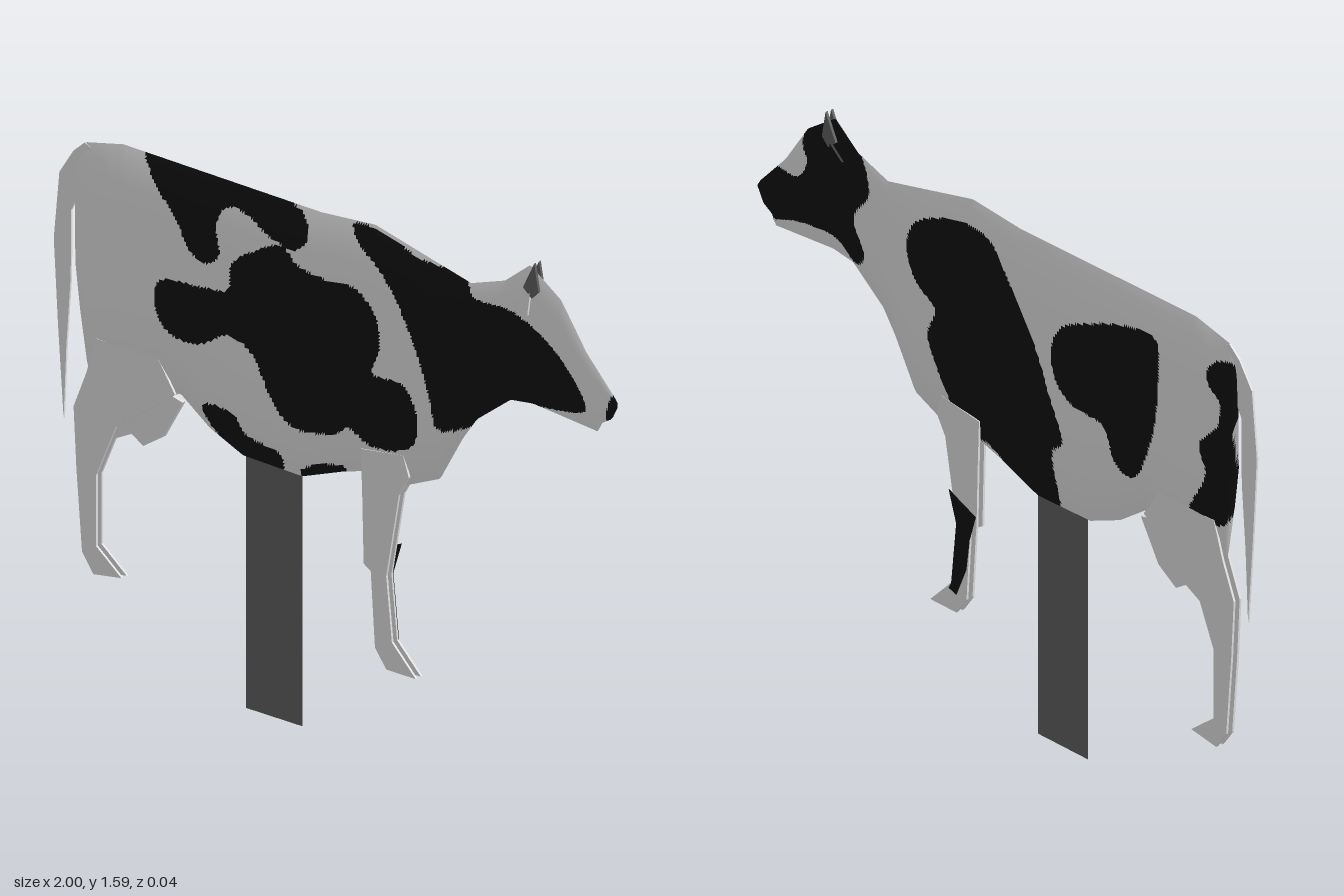
import * as THREE from 'three';

const mat = (name, color, side = THREE.FrontSide) => {
  const m = new THREE.MeshStandardMaterial({ color, side });
  m.name = name;
  return m;
};

// flat x,y list -> points
const pts = (a) => {
  const out = [];
  for (let i = 0; i < a.length; i += 2) out.push(new THREE.Vector2(a[i], a[i + 1]));
  return out;
};

// rounded closed patch outline
const patch = (a) => {
  const p = pts(a);
  const c = new THREE.CatmullRomCurve3(p.map((v) => new THREE.Vector3(v.x, v.y, 0)), true);
  return c.getPoints(p.length * 6);
};

const inside = (poly, x, y) => {
  let hit = false;
  for (let i = 0, j = poly.length - 1; i < poly.length; j = i++) {
    const a = poly[i], b = poly[j];
    if ((a.y > y) !== (b.y > y) && x < ((b.x - a.x) * (y - a.y)) / (b.y - a.y) + a.x) hit = !hit;
  }
  return hit;
};

// piecewise linear lookup
const lookup = (keys, x) => {
  for (let i = 2; i < keys.length; i += 2) {
    if (x <= keys[i]) {
      const t = (x - keys[i - 2]) / (keys[i] - keys[i - 2]);
      return keys[i - 1] + t * (keys[i + 1] - keys[i - 1]);
    }
  }
  return keys[keys.length - 1];
};

// body profile along x: back line, belly line, half thickness
const TOP = [-0.925, 1.47, -0.89, 1.51, -0.755, 1.54, -0.05, 1.53, 0.14, 1.545, 0.33, 1.5, 0.48, 1.465,
  0.6, 1.505, 0.69, 1.575, 0.8, 1.5, 0.89, 1.37, 0.99, 1.265, 1, 1.25];
const BELLY = [-0.925, 1.14, -0.91, 1.02, -0.88, 0.84, -0.55, 0.86, -0.45, 0.79, -0.33, 0.74, -0.12, 0.735,
  0.03, 0.79, 0.12, 0.815, 0.23, 0.8, 0.37, 0.86, 0.45, 1, 0.5, 1.07, 0.62, 1.16, 0.7, 1.17,
  0.93, 1.15, 0.945, 1.18, 0.98, 1.2, 1, 1.24];
const HALF = [-0.925, 0.002, -0.9, 0.011, -0.8, 0.019, -0.3, 0.022, 0.3, 0.019, 0.45, 0.011, 0.7, 0.007, 1, 0.002];

// patches on the +z flank
const FRONT_SPOTS = [
  [-0.68, 1.56, -0.48, 1.55, -0.26, 1.545, -0.11, 1.51, -0.09, 1.44, -0.14, 1.4, -0.23, 1.42, -0.31, 1.46,
    -0.38, 1.46, -0.41, 1.4, -0.4, 1.31, -0.45, 1.28, -0.5, 1.3, -0.56, 1.39, -0.63, 1.46],
  [-0.18, 1.4, -0.12, 1.36, -0.02, 1.345, 0.09, 1.345, 0.16, 1.275, 0.17, 1.195, 0.145, 1.115, 0.25, 1.11,
    0.3, 1.035, 0.29, 0.945, 0.22, 0.905, 0.115, 0.9, 0.06, 0.93, 0.01, 0.9, -0.14, 0.88, -0.205, 0.93,
    -0.285, 1.06, -0.365, 1.09, -0.47, 1.035, -0.58, 1.04, -0.63, 1.115, -0.61, 1.185, -0.47, 1.205,
    -0.365, 1.225, -0.355, 1.3, -0.285, 1.355],
  [0.065, 1.53, 0.17, 1.53, 0.3, 1.49, 0.46, 1.475, 0.49, 1.43, 0.63, 1.425, 0.785, 1.345, 0.89, 1.205,
    0.85, 1.185, 0.7, 1.165, 0.62, 1.15, 0.49, 1.05, 0.37, 1.01, 0.345, 1.09, 0.31, 1.195, 0.25, 1.315,
    0.17, 1.42, 0.09, 1.48],
  [-0.47, 0.855, -0.355, 0.86, -0.31, 0.81, -0.19, 0.78, -0.19, 0.73, -0.31, 0.72, -0.42, 0.78],
  [-0.12, 0.755, 0.035, 0.805, 0.035, 0.77, -0.12, 0.72],
  [0.96, 1.2, 0.985, 1.27, 1.02, 1.24, 1, 1.17, 0.965, 1.17],
].map(patch);

// patches on the -z flank
const BACK_SPOTS = [
  [0.82, 1.46, 0.717, 1.58, 0.604, 1.522, 0.547, 1.402, 0.61, 1.303, 0.566, 1.2, 0.604, 1.16, 0.68, 1.21,
    0.836, 1.2, 0.962, 1.17, 1.01, 1.24, 0.962, 1.33, 0.836, 1.34, 0.8, 1.4],
  [0.39, 1.3, 0.365, 1.384, 0.258, 1.444, 0.15, 1.469, 0.057, 1.453, -0.025, 1.36, -0.12, 1.226, -0.189, 1.075,
    -0.239, 0.947, -0.2, 0.91, -0.208, 0.73, -0.138, 0.72, -0.025, 0.76, 0.088, 0.82, 0.214, 0.77,
    0.195, 0.843, 0.258, 0.968, 0.302, 1.069, 0.27, 1.16, 0.352, 1.214],
  [-0.195, 1.217, -0.226, 1.297, -0.371, 1.371, -0.497, 1.412, -0.61, 1.416, -0.623, 1.291, -0.591, 1.088,
    -0.516, 0.951, -0.453, 0.97, -0.403, 1.069, -0.277, 1.085, -0.214, 1.136],
  [-0.824, 1.424, -0.918, 1.452, -0.95, 1.342, -0.912, 1.259, -0.925, 1.11, -0.89, 0.961, -0.811, 0.922,
    -0.736, 0.927, -0.811, 1.084, -0.786, 1.163, -0.855, 1.246, -0.862, 1.321, -0.818, 1.365],
].map(patch);

// lens-shaped body, neck and head: two bulged sheets, faces grouped by hide colour
function bodyGeometry() {
  const NX = 240, NV = 72, pos = [], plain = [], dark = [];
  for (const s of [1, -1]) {
    const base = pos.length / 3, spots = s > 0 ? FRONT_SPOTS : BACK_SPOTS;
    for (let i = 0; i <= NX; i++) {
      const x = -0.925 + (1.925 * i) / NX;
      const hi = lookup(TOP, x), lo = lookup(BELLY, x), h = lookup(HALF, x);
      for (let j = 0; j <= NV; j++) {
        const v = (2 * j) / NV - 1;
        pos.push(x, lo + ((hi - lo) * j) / NV, s * h * (1 - v ** 4));
      }
    }
    for (let i = 0; i < NX; i++) for (let j = 0; j < NV; j++) {
      const a = base + i * (NV + 1) + j, b = a + NV + 1, c = a + 1, d = b + 1;
      for (const t of [[a, b, d], [a, d, c]]) {
        const x = (pos[t[0] * 3] + pos[t[1] * 3] + pos[t[2] * 3]) / 3;
        const y = (pos[t[0] * 3 + 1] + pos[t[1] * 3 + 1] + pos[t[2] * 3 + 1]) / 3;
        const list = spots.some((p) => inside(p, x, y)) ? dark : plain;
        list.push(...(s > 0 ? t : [t[0], t[2], t[1]]));
      }
    }
  }
  const g = new THREE.BufferGeometry();
  g.setAttribute('position', new THREE.Float32BufferAttribute(pos, 3));
  g.setIndex([...plain, ...dark]);
  g.addGroup(0, plain.length, 0);
  g.addGroup(plain.length, dark.length, 1);
  g.computeVertexNormals();
  return g;
}

export function createModel() {
  const group = new THREE.Group();
  const white = mat('whiteHide', 0xdedede);
  const black = mat('blackHide', 0x101010);
  const grey = mat('greyPost', 0x5e5e5e, THREE.DoubleSide);

  const add = (name, geometry, material) => {
    const m = new THREE.Mesh(geometry, material);
    m.name = name;
    group.add(m);
  };
  // thin plate cut from an outline, centred on z
  const plate = (name, outline, z, depth, material) => {
    const g = new THREE.ExtrudeGeometry(new THREE.Shape(pts(outline)), { depth, bevelEnabled: false });
    g.translate(0, 0, z - depth / 2);
    add(name, g, material);
  };

  add('body', bodyGeometry(), [white, black]);

  // legs and ears in mirrored pairs
  for (const [side, s] of [['Left', 1], ['Right', -1]]) {
    plate('hindLeg' + side, [-0.84, 0.95, -0.875, 0.84, -0.92, 0.73, -0.91, 0.55, -0.89, 0.31, -0.85, 0.255,
      -0.75, 0.27, -0.84, 0.34, -0.84, 0.55, -0.77, 0.71, -0.7, 0.76, -0.56, 0.86, -0.62, 0.95], s * 0.011, 0.007, white);
    plate('frontLeg' + side, [0.1, 0.88, 0.105, 0.74, 0.11, 0.545, 0.135, 0.53, 0.15, 0.31, 0.19, 0.255,
      0.295, 0.255, 0.21, 0.34, 0.19, 0.53, 0.235, 0.78, 0.27, 0.84, 0.25, 0.9], s * 0.011, 0.007, white);
    plate('ear' + side, [0.65, 1.46, 0.69, 1.43, 0.7, 1.5], s * 0.009, 0.01, s > 0 ? white : black);
    plate('horn' + side, [0.675, 1.51, 0.715, 1.59, 0.73, 1.51, 0.705, 1.485], s * 0.01, 0.008, grey);
  }

  // dark patch on one front leg
  plate('legPatch', [0.22, 0.624, 0.112, 0.58, 0.137, 0.5, 0.15, 0.403, 0.19, 0.31, 0.22, 0.32,
    0.21, 0.34, 0.19, 0.53], -0.0148, 0.002, black);

  // udder and tail
  plate('udder', [-0.7, 0.88, -0.79, 0.72, -0.78, 0.67, -0.72, 0.7, -0.68, 0.675, -0.61, 0.72, -0.54, 0.84], 0, 0.013, white);
  plate('tail', [-0.87, 1.5, -0.89, 1.51, -0.93, 1.475, -0.98, 1.4, -1, 1.2, -0.985, 0.95, -0.965, 0.68,
    -0.955, 0.9, -0.94, 1.1, -0.938, 1.3, -0.91, 1.355, -0.87, 1.36], 0, 0.006, white);

  // flat support post
  const post = new THREE.PlaneGeometry(0.2, 0.76);
  post.translate(-0.22, 0.38, 0);
  add('post', post, grey);

  return group;
}
